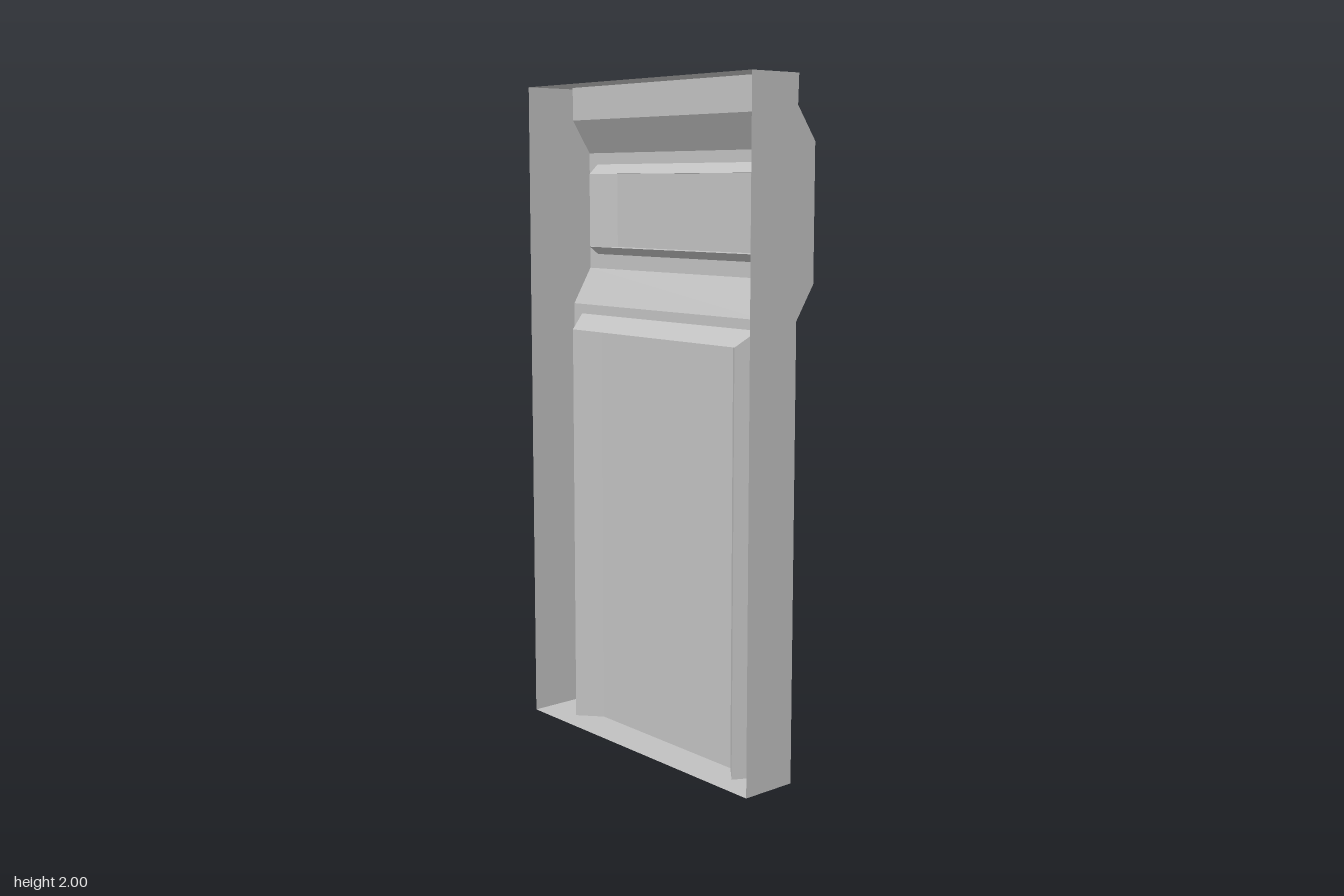
import * as THREE from 'three';

const FRONT = 0.12, LOW = -0.005, HIGH = -0.07;   // open edge, lower frame depth, upper frame depth
const W = 0.5, IN = 0.44;                         // outer half width, inner edge of pilasters

// side profiles as [z, y]
const pilasterProfile = [[-0.055, 0], [-0.055, 1.33], [-0.12, 1.43], [-0.12, 1.82], [-0.052, 1.915], [-0.055, 2]];
const fieldProfile = [[LOW, 0], [LOW, 1.33], [HIGH, 1.44], [HIGH, 1.8], [LOW, 1.9], [LOW, 2]];

export function createModel() {
  const group = new THREE.Group();
  const grey = new THREE.MeshStandardMaterial({ color: 0xc0c0c0, side: THREE.DoubleSide });
  grey.name = 'plainGrey';

  const add = (name, geometry) => {
    const mesh = new THREE.Mesh(geometry, grey);
    mesh.name = name;
    group.add(mesh);
    return mesh;
  };
  const shape = pts => new THREE.Shape(pts.map(([a, b]) => new THREE.Vector2(a, b)));

  // flat-shaded quads between two matching rows of points
  const strip = (rowA, rowB) => {
    const pos = [];
    for (let i = 0; i + 1 < rowA.length; i++) {
      const [a, b, c, d] = [rowA[i], rowB[i], rowB[i + 1], rowA[i + 1]];
      pos.push(...a, ...b, ...c, ...a, ...c, ...d);
    }
    const g = new THREE.BufferGeometry();
    g.setAttribute('position', new THREE.Float32BufferAttribute(pos, 3));
    g.computeVertexNormals();
    return g;
  };
  const at = (x, profile) => profile.map(([z, y]) => [x, y, z]);

  // flat sheet drawn in the z-y plane at a given x
  const sideSheet = (x, pts) => new THREE.ShapeGeometry(shape(pts)).rotateY(-Math.PI / 2).translate(x, 0, 0);
  // flat sheet drawn in the x-z plane at a given y
  const levelSheet = (y, pts) => new THREE.ShapeGeometry(shape(pts)).rotateX(Math.PI / 2).translate(0, y, 0);

  // pilasters with their outer and inner walls
  for (const [s, side] of [[1, 'left'], [-1, 'right']]) {
    add(side + 'Pilaster', strip(at(s * W, pilasterProfile), at(s * IN, pilasterProfile)));
    add(side + 'OuterWall', sideSheet(s * W, [[FRONT, 0], ...pilasterProfile, [FRONT, 2]]));
    add(side + 'InnerWall', sideSheet(s * IN, [...pilasterProfile, ...[...fieldProfile].reverse()]));
  }

  // top cap and floor follow the relief outline
  const outlineEnds = [[W, FRONT], [W, -0.055], [IN, -0.055], [IN, LOW]];
  const mirrored = pts => [...pts, ...pts.map(([x, z]) => [-x, z]).reverse()];
  add('topCap', levelSheet(2, mirrored(outlineEnds)));
  add('floor', levelSheet(0, mirrored([...outlineEnds, [0.4, LOW], [0.37, 0.055], [0.3, LOW]])));

  // sloped bands and the strip at the top
  for (const [name, i] of [['lowerSlope', 1], ['upperSlope', 3], ['topStrip', 4]]) {
    const part = fieldProfile.slice(i, i + 2);
    add(name, strip(at(IN, part), at(-IN, part)));
  }

  // lower frame, open at the floor
  add('lowerFrame', new THREE.ShapeGeometry(shape([
    [-IN, 0], [-0.4, 0], [-0.4, 1.3], [0.4, 1.3], [0.4, 0], [IN, 0], [IN, 1.33], [-IN, 1.33],
  ])).translate(0, 0, LOW));

  // upper frame with a window for the panel
  const upper = shape([[-IN, 1.44], [IN, 1.44], [IN, 1.8], [-IN, 1.8]]);
  upper.holes.push(shape([[-0.4, 1.485], [-0.4, 1.765], [0.4, 1.765], [0.4, 1.485]]));
  add('upperFrame', new THREE.ShapeGeometry(upper).translate(0, 0, HIGH));

  // sunk panel: bevel down to a groove, then a field raised back to frame level
  const panel = (name, z, groove, outerY, innerY, openBottom) => {
    const loop = (x, [y0, y1], d) => {
      const pts = [[-x, y0, d], [-x, y1, d], [x, y1, d], [x, y0, d]];
      return openBottom ? pts : [...pts, pts[0]];
    };
    const outer = loop(0.4, outerY, z), mid = loop(0.37, innerY, groove), inner = loop(0.3, innerY, z);
    add(name + 'Bevel', strip(outer, mid));
    add(name + 'Groove', strip(mid, inner));
    add(name + 'Field', strip([inner[0], inner[1]], [inner[3], inner[2]]));
  };
  panel('lowerPanel', LOW, 0.055, [0, 1.3], [0, 1.255], true);
  panel('upperPanel', HIGH, -0.015, [1.485, 1.765], [1.51, 1.735], false);

  return group;
}
